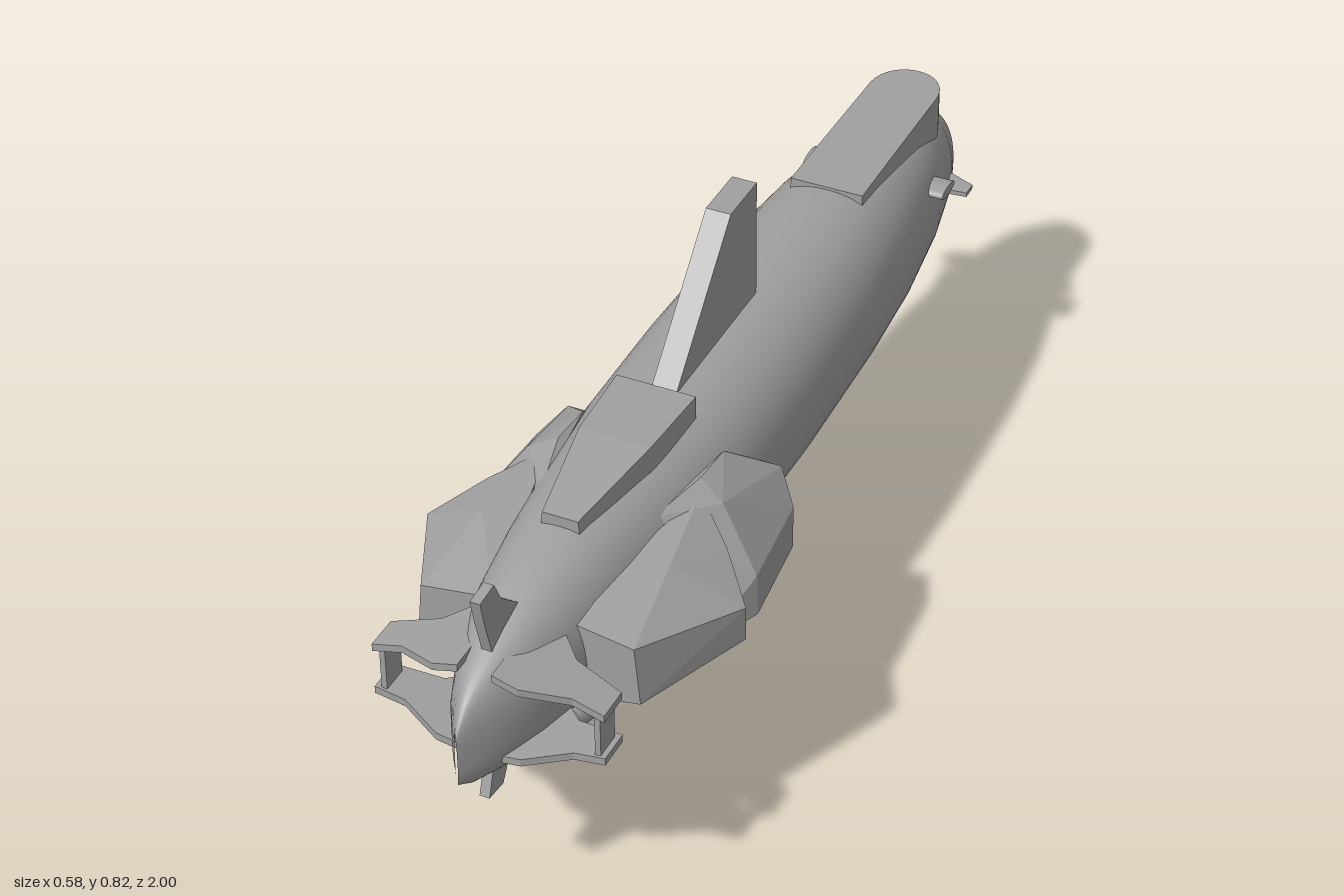
import * as THREE from 'three';
import { ConvexGeometry } from 'three/addons/geometries/ConvexGeometry.js';

export function createModel() {
  const group = new THREE.Group();
  const hullGrey = new THREE.MeshStandardMaterial({ color: 0xa0a0a0 });

  const add = (name, geometry) => {
    const mesh = new THREE.Mesh(geometry, hullGrey);
    mesh.name = name;
    group.add(mesh);
    return mesh;
  };
  const shapeOf = (pts) => new THREE.Shape(pts.map(([a, b]) => new THREE.Vector2(a, b)));
  const extrude = (shape, depth) => new THREE.ExtrudeGeometry(shape, { depth, bevelEnabled: false, curveSegments: 16 });
  // Upright plate from (z, y) points, centred on x
  const upright = (pts, t) => extrude(shapeOf(pts), t).rotateY(-Math.PI / 2).translate(t / 2, 0, 0);
  // Level plate from an (x, z) shape, between two heights
  const level = (shape, y0, y1) => extrude(shape, y1 - y0).rotateX(Math.PI / 2).translate(0, y1, 0);
  const convex = (pts, s = 1) => new ConvexGeometry(pts.map(([x, y, z]) => new THREE.Vector3(s * x, y, z)));
  const box = (name, w, h, d, x, y, z) => add(name, new THREE.BoxGeometry(w, h, d).translate(x, y, z));
  const ellipseDrum = (name, rx, rz, y0, y1, z) =>
    add(name, new THREE.CylinderGeometry(1, 1, y1 - y0, 40).scale(rx, 1, rz).translate(0, (y0 + y1) / 2, z));
  const rod = (name, a, b, r, sides = 16) => {
    const from = new THREE.Vector3(...a), to = new THREE.Vector3(...b), dir = to.clone().sub(from);
    const mesh = add(name, new THREE.CylinderGeometry(r, r, dir.length(), sides));
    mesh.position.copy(from).add(to).multiplyScalar(0.5);
    mesh.quaternion.setFromUnitVectors(new THREE.Vector3(0, 1, 0), dir.normalize());
  };

  // Hull stations: z, half width, bottom, top
  const stations = [
    [-1, 0.002, 0.30, 0.37], [-0.97, 0.025, 0.295, 0.42], [-0.92, 0.055, 0.294, 0.475],
    [-0.85, 0.08, 0.294, 0.522], [-0.7, 0.115, 0.294, 0.557], [-0.5, 0.145, 0.294, 0.582],
    [-0.3, 0.16, 0.294, 0.595], [0, 0.168, 0.294, 0.597], [0.25, 0.165, 0.294, 0.595],
    [0.45, 0.148, 0.294, 0.592], [0.6, 0.13, 0.295, 0.587], [0.75, 0.108, 0.298, 0.57],
    [0.85, 0.08, 0.302, 0.54], [0.92, 0.052, 0.308, 0.51], [0.97, 0.023, 0.317, 0.475], [1, 0.002, 0.335, 0.43],
  ];
  const N = 48, pos = [], idx = [];
  stations.forEach(([z, w, yb, yt], i) => {
    const mid = yb + (yt - yb) * 0.42;
    for (let j = 0; j < N; j++) {
      const a = (j / N) * Math.PI * 2, c = Math.cos(a), s = Math.sin(a);
      const e = s < 0 ? 0.72 : 0.9;
      const x = Math.sign(c) * Math.abs(c) ** e * w;
      const y = mid + Math.sign(s) * Math.abs(s) ** e * (s < 0 ? mid - yb : yt - mid);
      pos.push(x, y, z);
      if (i < stations.length - 1) {
        const k = (j + 1) % N, p = i * N, q = p + N;
        idx.push(p + j, p + k, q + j, p + k, q + k, q + j);
      }
    }
  });
  const hull = new THREE.BufferGeometry();
  hull.setAttribute('position', new THREE.Float32BufferAttribute(pos, 3));
  hull.setIndex(idx);
  hull.computeVertexNormals();
  add('hull', hull);

  // Sail and deck humps
  add('sail', upright([[0.26, 0.58], [0.03, 0.822], [-0.075, 0.822], [-0.075, 0.58]], 0.046));
  const rear = new THREE.Shape();
  rear.moveTo(-0.07, -0.43);
  rear.lineTo(0.07, -0.43);
  rear.lineTo(0.067, -0.79);
  rear.bezierCurveTo(0.06, -0.885, -0.06, -0.885, -0.067, -0.79);
  add('rearDeckHump', level(rear, 0.5, 0.592));
  add('frontDeckHump', convex([-1, 1].flatMap((s) => [
    [s * 0.073, 0.624, 0.275], [s * 0.073, 0.55, 0.275], [s * 0.065, 0.624, 0.43], [s * 0.07, 0.55, 0.43],
    [s * 0.032, 0.603, 0.63], [s * 0.038, 0.55, 0.63]])));

  // Bow fins above and below
  add('upperBowFin', upright([[0.88, 0.5], [0.905, 0.59], [0.917, 0.642], [0.87, 0.646], [0.85, 0.605], [0.79, 0.55]], 0.018));
  add('lowerBowFin', upright([[0.88, 0.35], [0.9, 0.29], [0.917, 0.24], [0.87, 0.234], [0.85, 0.265], [0.8, 0.32]], 0.018));

  for (const s of [1, -1]) {
    // Side bow planes, sloped outward and joined at the tips
    const plan = [[0.03, 0.93], [0.075, 0.93], [0.15, 0.892], [0.205, 0.892], [0.205, 0.83], [0.12, 0.815], [0.075, 0.77], [0.03, 0.77]];
    for (const [name, root, tip] of [['upperBowPlane', 0.51, 0.46], ['lowerBowPlane', 0.345, 0.372]]) {
      const g = level(shapeOf(plan.map(([x, z]) => [s * x, z])), -0.007, 0.007);
      const p = g.attributes.position;
      for (let i = 0; i < p.count; i++) {
        p.setY(i, p.getY(i) + root + (tip - root) * (Math.abs(p.getX(i)) - 0.03) / 0.175);
      }
      g.computeVertexNormals();
      add(name, g);
    }
    box('bowPlaneLink', 0.01, 0.092, 0.05, s * 0.19, 0.417, 0.862);

    // Faceted side pods
    add('frontPod', convex([
      [0.06, 0.51, 0.755], [0.19, 0.49, 0.755], [0.2, 0.38, 0.755], [0.06, 0.355, 0.755],
      [0.29, 0.455, 0.55], [0.29, 0.39, 0.55], [0.17, 0.525, 0.58], [0.2, 0.34, 0.58],
      [0.22, 0.495, 0.47], [0.22, 0.355, 0.47], [0.14, 0.535, 0.4], [0.14, 0.33, 0.4]], s));
    add('rearPod', convex([
      [0.1, 0.54, 0.5], [0.1, 0.3, 0.56], [0.2, 0.32, 0.53], [0.255, 0.42, 0.43], [0.257, 0.34, 0.43],
      [0.18, 0.525, 0.4], [0.13, 0.548, 0.38], [0.13, 0.28, 0.42], [0.13, 0.54, 0.29], [0.24, 0.43, 0.25],
      [0.24, 0.345, 0.25], [0.13, 0.285, 0.27], [0.2, 0.475, 0.21], [0.2, 0.315, 0.2], [0.13, 0.5, 0.24]], s));

    // Launch tubes under the bow
    rod('launchTube', [s * 0.09, 0.335, 0.79], [s * 0.125, 0.305, 0.56], 0.022);
    rod('launchTubeCollar', [s * 0.1, 0.325, 0.72], [s * 0.115, 0.315, 0.62], 0.028);

    // Stabiliser on the belly drum
    add('drumStabiliser', level(shapeOf([[0.05, 0.19], [0.1, 0.19], [0.154, 0.165], [0.154, 0.105], [0.05, 0.1]].map(([x, z]) => [s * x, z])), 0.162, 0.176));

    // Stern thruster stub and small stern plane
    add('sternThruster', new THREE.CylinderGeometry(1, 1, 0.08, 16).rotateZ(Math.PI / 2)
      .scale(1, 0.01, 0.031).translate(s * 0.1, 0.475, -0.676));
    add('sternPlane', level(shapeOf([[0.05, -0.84], [0.09, -0.83], [0.137, -0.81], [0.137, -0.78], [0.05, -0.77]].map(([x, z]) => [s * x, z])), 0.396, 0.405));
  }

  // Belly drum, keel blocks and sensors
  ellipseDrum('bellyDrum', 0.083, 0.164, 0.145, 0.31, 0.226);
  ellipseDrum('lowerDrum', 0.045, 0.105, 0.11, 0.146, 0.24);
  ellipseDrum('drumCap', 0.028, 0.03, 0.103, 0.111, 0.25);
  box('rearKeelBlock', 0.11, 0.09, 0.14, 0, 0.268, 0.065);
  box('frontKeelBlock', 0.118, 0.05, 0.22, 0, 0.286, 0.475);
  box('keelInlet', 0.038, 0.02, 0.06, 0, 0.254, 0.4);
  [[-0.02, 0, 0.243], [-0.008, 0.025, 0.276], [0.007, 0.04, 0.276]].forEach(([x, y, z]) =>
    rod('antenna', [x, y, z], [x, 0.12, z], 0.0022, 8));
  add('bellySensor', new THREE.SphereGeometry(0.014, 16, 12).translate(0, 0.287, -0.235));
  add('bellySensor', new THREE.SphereGeometry(0.021, 16, 12).translate(0, 0.289, -0.28));

  return group;
}
